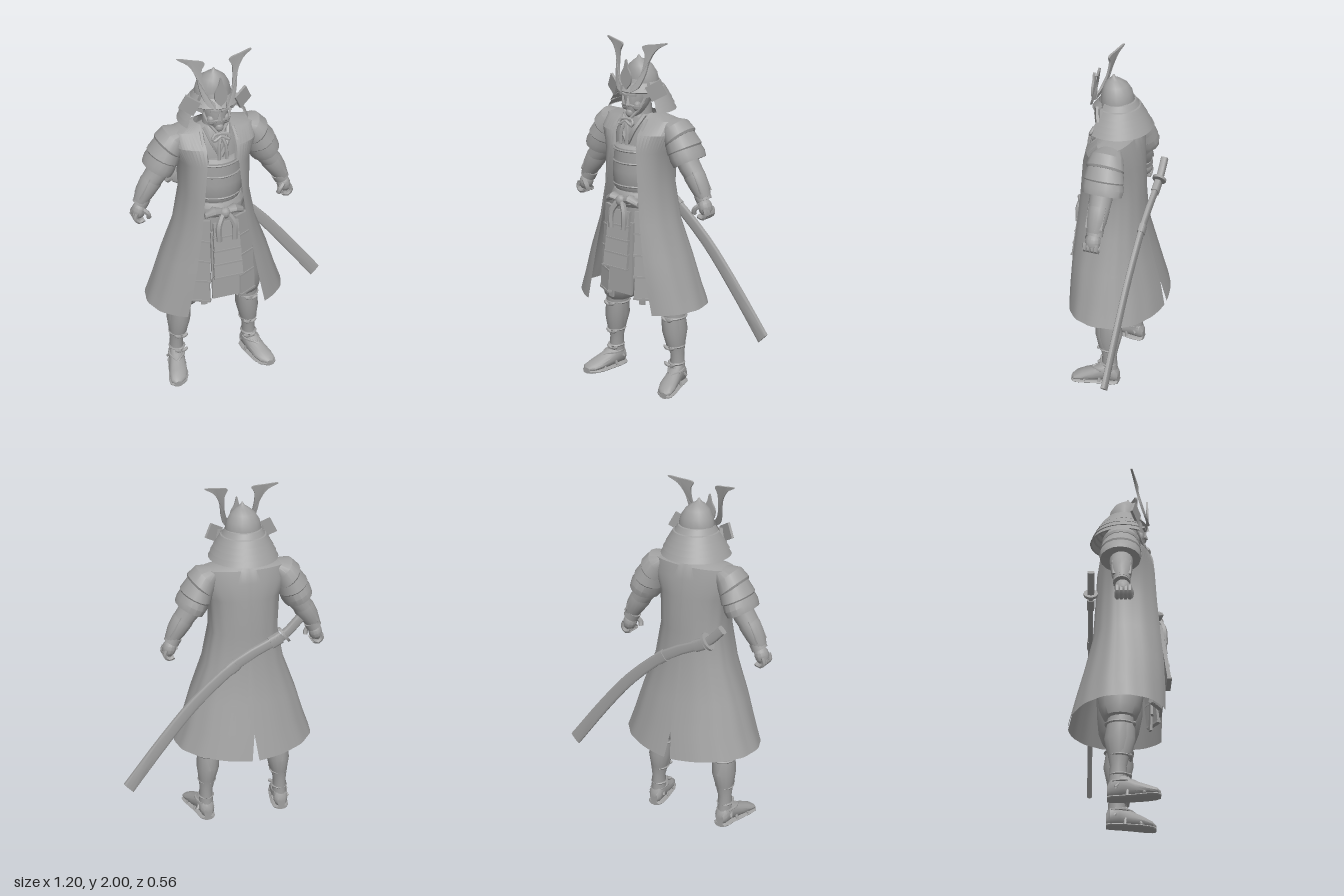
import * as THREE from 'three';
import { toCreasedNormals } from 'three/addons/utils/BufferGeometryUtils.js';

const grey = new THREE.MeshStandardMaterial({ color: 0xa0a0a0, side: THREE.DoubleSide });
grey.name = 'plain grey';
const V = (x, y, z) => new THREE.Vector3(x, y, z);
const X = V(1, 0, 0), Y = V(0, 1, 0), Z = V(0, 0, 1);

function add(parent, name, geo, p = [0, 0, 0], r = [0, 0, 0], s = [1, 1, 1]) {
  const m = new THREE.Mesh(toCreasedNormals(geo, 0.6), grey);
  m.name = name;
  m.position.set(...p); m.rotation.set(...r); m.scale.set(...s);
  parent.add(m);
}
const box = (w, h, d) => new THREE.BoxGeometry(w, h, d);
const ball = (r) => new THREE.SphereGeometry(r, 12, 8);
const tube = (pts, r, n = 10) =>
  new THREE.TubeGeometry(new THREE.CatmullRomCurve3(pts.map(p => V(...p))), n, r, 6);
const lathe = (pts, n, start = 0, len = Math.PI * 2) =>
  new THREE.LatheGeometry(pts.map(p => new THREE.Vector2(...p)), n, start, len);

// Closed skin over elliptical rings [x, y, z, a, b] lying in the u, v plane; power < 1 squares the section
function loft(rings, u = X, v = Z, n = 16, power = 1) {
  const pos = [], idx = [];
  const bend = (c) => Math.sign(c) * Math.abs(c) ** power;
  rings.forEach(([x, y, z, a, b]) => {
    for (let j = 0; j < n; j++) {
      const t = j / n * Math.PI * 2;
      pos.push(...V(x, y, z).addScaledVector(u, a * bend(Math.cos(t))).addScaledVector(v, b * bend(Math.sin(t))).toArray());
    }
  });
  const last = rings.length - 1, c0 = rings.length * n;
  pos.push(...rings[0].slice(0, 3), ...rings[last].slice(0, 3));
  for (let j = 0; j < n; j++) {
    const k = (j + 1) % n;
    for (let i = 0; i < last; i++) {
      const a = i * n + j, b = i * n + k;
      idx.push(a, b, a + n, b, b + n, a + n);
    }
    idx.push(c0, k, j, c0 + 1, last * n + j, last * n + k);
  }
  return surface(pos, idx);
}
function surface(pos, idx) {
  const g = new THREE.BufferGeometry();
  g.setAttribute('position', new THREE.Float32BufferAttribute(pos, 3));
  g.setIndex(idx);
  return g;
}
// Loft whose rings stand square to a limb lying near the xy plane
function limb(rings, power = 1) {
  const a = rings[0], b = rings[rings.length - 1];
  const d = V(b[0] - a[0], b[1] - a[1], 0).normalize();
  return loft(rings, Z.clone().cross(d), Z, 16, power);
}
function plate(points, depth) {
  const s = new THREE.Shape();
  s.moveTo(...points[0]);
  s.splineThru(points.slice(1).map(p => new THREE.Vector2(...p)));
  return new THREE.ExtrudeGeometry(s, { depth, bevelEnabled: false, curveSegments: 20 });
}

// One side of the open coat; rows are [y, half width, front z, back z, front opening, back slit]
function coatHalf() {
  const rows = [
    [1.6, .10, .085, -.06, .08, 0], [1.57, .24, .10, -.095, .085, 0], [1.5, .245, .175, -.115, .085, 0],
    [1.4, .2, .205, -.13, .09, 0], [1.2, .192, .23, -.14, .11, 0], [1.0, .23, .25, -.152, .135, 0],
    [.8, .305, .262, -.2, .17, 0], [.64, .355, .267, -.243, .2, 0], [.485, .4, .267, -.28, .23, .05]];
  const n = 32, pos = [], idx = [];
  rows.forEach(([y, w, f, b, open, slit], i) => {
    const t0 = Math.asin((open / w) ** (1 / .85)), t1 = Math.PI - slit;
    for (let j = 0; j <= n; j++) {
      const t = t0 + (t1 - t0) * j / n, s = Math.sin(t), c = Math.cos(t);
      const fold = 1 + .008 * Math.sin(j * 1.2) * Math.sin(j / n * Math.PI) * Math.min(1, i / 4);
      const hem = i === rows.length - 1 ? .03 * s : 0;
      const x = w * (c > 0 ? s ** .85 : s), z = c > 0 ? f * c ** .85 : -b * c;
      pos.push(x * fold, y + hem, z * fold);
      if (i && j) {
        const q = i * (n + 1) + j, p = q - n - 1;
        idx.push(p - 1, q - 1, p, p, q - 1, q);
      }
    }
  });
  return surface(pos, idx);
}

function buildArm(g) {
  // Sleeve in three overlapping tiers
  add(g, 'sleeve', limb([[.17, 1.56, 0, .03, .06], [.215, 1.53, 0, .075, .092], [.25, 1.478, 0, .088, .108], [.256, 1.468, 0, .08, .1]]));
  add(g, 'sleeve', limb([[.235, 1.5, 0, .075, .095], [.277, 1.42, -.003, .091, .114], [.281, 1.41, -.003, .083, .106]]));
  add(g, 'sleeve', limb([[.265, 1.44, 0, .08, .104], [.296, 1.382, -.005, .089, .116], [.312, 1.35, -.005, .084, .11], [.31, 1.352, -.005, .06, .075]]));
  add(g, 'elbow', limb([[.28, 1.39, 0, .06, .065], [.315, 1.325, 0, .06, .063], [.345, 1.285, 0, .056, .06]]));
  add(g, 'forearm', limb([[.315, 1.33, 0, .05, .055], [.35, 1.275, 0, .06, .06], [.385, 1.22, 0, .053, .055],
    [.415, 1.165, .002, .038, .042]]));
  for (let i = 0; i < 3; i++)
    add(g, 'forearmSplint', box(.012, .13, .026), [.405 - .012 * Math.abs(i - 1), 1.255, (i - 1) * .036], [0, 0, .5]);
  add(g, 'wristCuff', limb([[.395, 1.185, 0, .044, .046], [.415, 1.15, 0, .044, .046]]));
  // Half-closed fist
  add(g, 'palm', ball(.046), [.425, 1.115, .005], [0, 0, .3], [.85, 1.15, .95]);
  for (let i = 0; i < 4; i++) {
    const z = .042 - i * .022;
    add(g, 'finger', tube([[.446, 1.115, z], [.456, 1.085, z], [.432, 1.06, z], [.405, 1.072, z]], .013, 6));
  }
  add(g, 'thumb', tube([[.41, 1.13, .04], [.385, 1.105, .052], [.38, 1.08, .045]], .014, 6));
}

function buildLeg(g) {
  add(g, 'trouserLeg', loft([[.1, .98, 0, .1, .13], [.125, .8, 0, .115, .13], [.155, .62, 0, .122, .125],
    [.175, .52, -.005, .115, .11], [.185, .47, -.005, .095, .09], [.19, .45, -.005, .06, .07]]));
  add(g, 'shin', loft([[.2, .48, 0, .066, .07], [.207, .42, -.005, .064, .07], [.212, .34, -.01, .066, .078],
    [.218, .26, -.012, .05, .058], [.224, .19, -.014, .038, .043], [.226, .09, -.014, .042, .05]]));
  add(g, 'shinGuard', loft([[.204, .43, .012, .06, .062], [.21, .34, .01, .062, .066], [.217, .25, .002, .048, .052]]));
  for (const [y, r] of [[.425, .066], [.245, .047], [.14, .042]]) {
    add(g, 'legTie', new THREE.TorusGeometry(r, .007, 5, 18), [.207 + (.425 - y) * .06, y, -.007], [Math.PI / 2, 0, 0], [1, 1.1, 1]);
    for (const s of [-1, 1])
      add(g, 'tieBow', ball(.015), [.212 + s * .02, y - .006, r + .003], [0, 0, s * .5], [1.5, .7, .7]);
  }
  const foot = [[.225, .05, -.072, .025, .033], [.225, .065, -.052, .041, .055], [.23, .078, 0, .046, .068],
    [.246, .056, .07, .05, .046], [.263, .042, .135, .054, .032], [.277, .032, .18, .045, .022], [.283, .026, .2, .02, .01]];
  add(g, 'foot', loft(foot, X, Y));
  add(g, 'sandalSole', loft(foot.map(([x, , z, a]) => [x, .013, z, a + .006, .013]), X, Y));
  for (const s of [-1, 1]) {
    add(g, 'sandalStrap', tube([[.256 - s * .053, .02, .12], [.25, .09, .085], [.233 + s * .043, .1, .02], [.225 + s * .03, .1, -.045]], .008));
    add(g, 'sandalStrap', tube([[.236 + s * .05, .02, .03], [.235, .125, .035], [.23 - s * .048, .06, -.03]], .008));
  }
}

function buildSideGear(g) {
  add(g, 'coatSide', coatHalf());
  // Hanging thigh plates in overlapping rows
  for (const [a, r] of [[.62, .21], [1.3, .165]])
    for (let i = 0; i < 4; i++) {
      const R = r + i * .01;
      add(g, 'thighPlate', box(.115, .13, .018), [R * Math.sin(a), 1.0 - i * .125, R * Math.cos(a) * .92], [-.1, a * .8, 0]);
      add(g, 'plateRim', box(.12, .012, .026), [R * Math.sin(a), .942 - i * .125, R * Math.cos(a) * .92 + .006], [0, a * .8, 0]);
    }
  add(g, 'hangingCloth', box(.035, .48, .012), [.1, .76, .17], [0, .2, .05]);
  add(g, 'shoulderStrap', tube([[.085, 1.42, .165], [.095, 1.5, .145], [.09, 1.57, .085]], .014));
  add(g, 'collar', tube([[.0, 1.44, .15], [.04, 1.52, .14], [.065, 1.595, .08]], .014));
  // Helmet horn leaning back and turned outward toward its broad tip
  const horn = plate([[.03, 1.725], [.075, 1.755], [.1, 1.82], [.115, 1.9], [.15, 1.96], [.205, 1.998],
    [.14, 1.99], [.07, 1.975], [.085, 1.93], [.08, 1.85], [.06, 1.79], [.03, 1.76]], .012);
  const p = horn.attributes.position;
  for (let i = 0; i < p.count; i++) {
    const h = Math.max(0, (p.getY(i) - 1.73) / .27);
    p.setZ(i, p.getZ(i) + .15 - .06 * h - .25 * (p.getX(i) - .06) - .01 * Math.sin(h * Math.PI));
  }
  add(g, 'helmetHorn', horn);
  add(g, 'helmetWing', box(.09, .085, .014), [.148, 1.738, .085], [0, .45, .5]);
  add(g, 'helmetWingRoot', box(.07, .05, .02), [.1, 1.725, .085], [0, .6, .3]);
  // Face and cords
  add(g, 'eyeBrow', box(.04, .012, .014), [.028, 1.705, .138], [0, .3, .15]);
  add(g, 'maskCheek', ball(.026), [.04, 1.645, .11], [0, 0, 0], [.9, 1.2, 1]);
  add(g, 'moustache', tube([[.005, 1.652, .146], [.03, 1.648, .138], [.05, 1.63, .115]], .007, 6));
  add(g, 'chinCord', tube([[.085, 1.73, .07], [.06, 1.64, .11], [.012, 1.575, .14]], .008));
  add(g, 'cordLoop', tube([[0, 1.575, .15], [.04, 1.57, .155], [.045, 1.545, .165], [0, 1.565, .16]], .01));
  add(g, 'cordTail', tube([[0, 1.57, .155], [.018, 1.52, .175], [.022, 1.44, .185]], .01));
  // Sash bow
  add(g, 'sashLoop', loft([[.01, 1.125, .2, .02, .02], [.06, 1.14, .205, .035, .024], [.11, 1.115, .195, .014, .016]], Z, Y, 10));
  add(g, 'sashTail', tube([[.015, 1.12, .22], [.045, 1.06, .24], [.045, .97, .245]], .017));
}

function buildSword(g) {
  const path = new THREE.CatmullRomCurve3([[-.275, 1.29], [-.185, 1.2], [.06, 1.07], [.305, .86], [.485, .65], [.71, .355]]
    .map(([x, y]) => V(x, y, -.164)));
  // Flattened section swept along the sword's curve
  const sweep = (t0, t1, a0, a1, b) => {
    const rings = [];
    for (let i = 0; i <= 12; i++) {
      const p = path.getPoint(t0 + (t1 - t0) * i / 12);
      rings.push([p.x, p.y, p.z, a0 + (a1 - a0) * i / 12, b]);
    }
    return limb(rings, .5);
  };
  add(g, 'swordHandle', sweep(0, .2, .025, .025, .019));
  add(g, 'scabbard', sweep(.21, 1, .029, .038, .014));
  add(g, 'scabbardMouth', sweep(.22, .27, .034, .034, .02));
  add(g, 'scabbardBand', sweep(.42, .45, .035, .035, .019));
  const d = path.getTangent(.2);
  add(g, 'swordGuard', new THREE.CylinderGeometry(.052, .052, .014, 16), path.getPoint(.2).toArray(),
    [0, 0, Math.atan2(d.y, d.x) - Math.PI / 2], [1, 1, .75]);
}

export function createModel() {
  const model = new THREE.Group();
  model.name = 'armouredWarrior';
  model.position.x = -.135;
  // Trunk
  add(model, 'torso', loft([[0, 1.59, .03, .06, .06], [0, 1.545, .02, .17, .085], [0, 1.42, .02, .165, .12],
    [0, 1.15, .025, .15, .13], [0, 1.02, .02, .17, .14], [0, .85, .01, .19, .14], [0, .78, 0, .12, .1]]));
  add(model, 'breastplate', loft([[0, 1.425, .04, .125, .12], [0, 1.41, .04, .14, .14], [0, 1.28, .04, .155, .15],
    [0, 1.19, .04, .15, .148], [0, 1.17, .04, .14, .138]], X, Z, 24));
  for (const y of [1.4, 1.33, 1.2])
    add(model, 'breastplateRim', new THREE.TorusGeometry(.15, .006, 5, 28), [0, y, .04], [Math.PI / 2, 0, 0], [.97, .98, 1]);
  add(model, 'sash', loft([[0, 1.165, .035, .15, .145], [0, 1.14, .035, .165, .16], [0, 1.1, .035, .165, .16], [0, 1.08, .035, .155, .145]]));
  add(model, 'sashKnot', ball(.03), [0, 1.125, .215], [0, 0, 0], [1, 1.1, .9]);
  // Front apron: four plates over a cloth
  for (let i = 0; i < 4; i++) {
    add(model, 'apronPlate', box(.145 + i * .007, .085, .02), [0, 1.03 - i * .08, .225 + i * .011], [-.15, 0, 0]);
    add(model, 'apronRim', box(.15 + i * .007, .01, .026), [0, .99 - i * .08, .232 + i * .011]);
  }
  add(model, 'apronCloth', box(.16, .42, .014), [0, .795, .21], [-.05, 0, 0]);
  // Head and helmet
  add(model, 'neck', loft([[0, 1.68, .02, .05, .055], [0, 1.54, .02, .06, .06]]));
  add(model, 'head', loft([[0, 1.79, .04, .075, .075], [0, 1.72, .055, .076, .082], [0, 1.66, .06, .068, .082],
    [0, 1.61, .075, .045, .065], [0, 1.585, .085, .022, .04]]));
  add(model, 'nose', new THREE.ConeGeometry(.018, .055, 5), [0, 1.682, .142]);
  add(model, 'chin', ball(.025), [0, 1.605, .125]);
  add(model, 'helmetBowl', loft([[0, 1.915, .045, .003, .003], [0, 1.897, .043, .014, .014], [0, 1.885, .038, .034, .036],
    [0, 1.86, .03, .066, .064], [0, 1.82, .024, .09, .082], [0, 1.775, .022, .1, .09], [0, 1.74, .022, .1, .09]], X, Z, 20));
  add(model, 'helmetVisor', lathe([[.1, 1.77], [.135, 1.725], [.13, 1.72], [.098, 1.755]], 14, -.95, 1.9), [0, 0, .022]);
  add(model, 'helmetCrest', plate([[0, 1.74], [.03, 1.775], [.034, 1.82], [.014, 1.86], [0, 1.905], [-.014, 1.86], [-.034, 1.82], [-.03, 1.775], [0, 1.74]], .012), [0, 0, .15]);
  [.1, .126, .144, .159, .171].forEach((r, i) => {
    const y = 1.775 - i * .031;
    add(model, 'neckGuardTier', lathe([[r - .008, y + .003], [r, y], [r + .021, y - .034], [r + .01, y - .034]], 28, 1.1, Math.PI * 2 - 2.2), [0, 0, .02]);
  });
  // Mirrored halves
  for (const s of [1, -1]) {
    const side = new THREE.Group();
    side.name = s > 0 ? 'leftSide' : 'rightSide';
    side.scale.x = s;
    for (const [name, build] of [['arm', buildArm], ['leg', buildLeg], ['sideGear', buildSideGear]]) {
      const part = new THREE.Group();
      part.name = name;
      build(part);
      side.add(part);
    }
    model.add(side);
  }
  const sword = new THREE.Group();
  sword.name = 'sword';
  buildSword(sword);
  model.add(sword);
  return model;
}
